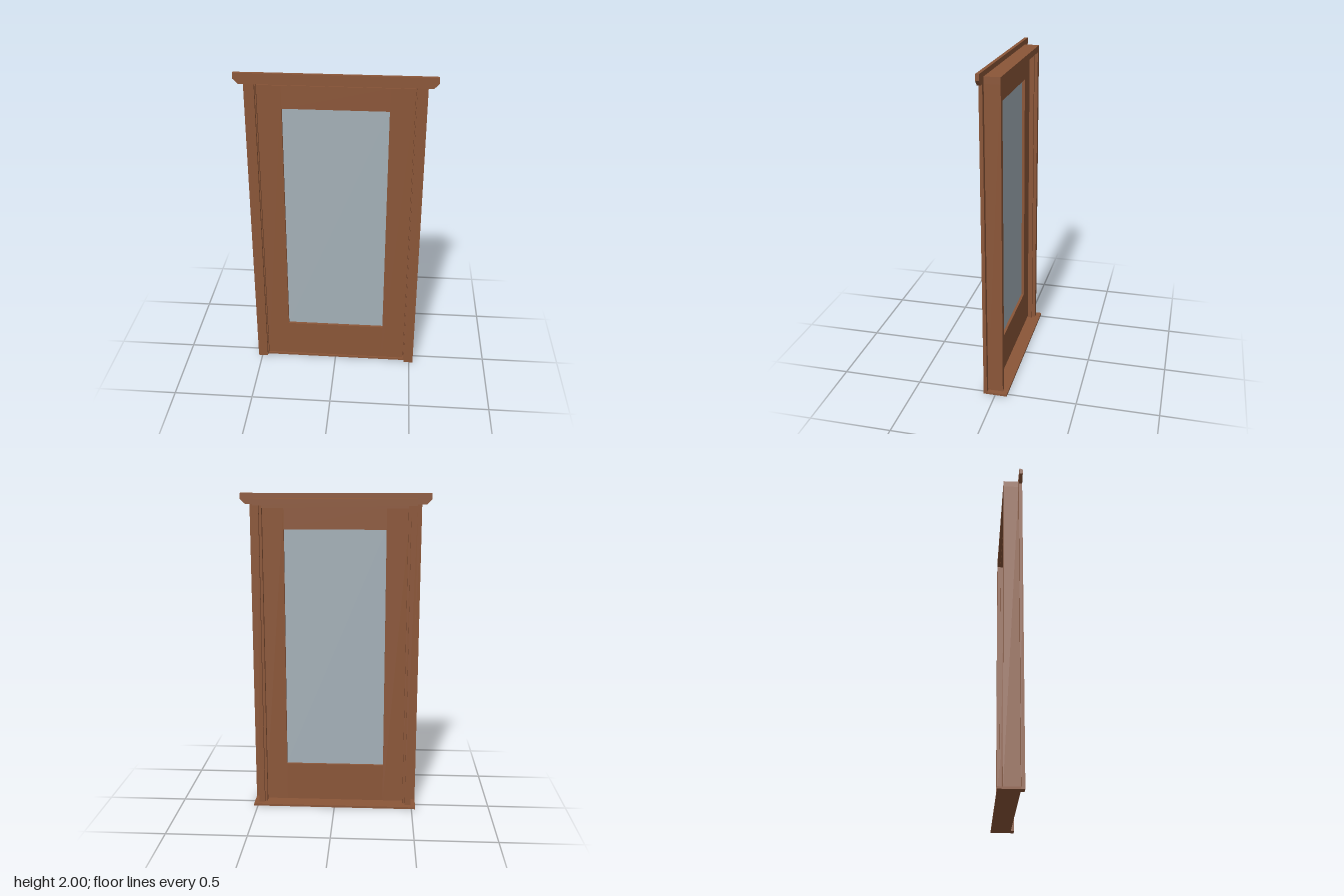
import * as THREE from 'three';

export function createModel() {
  const model = new THREE.Group();
  model.name = 'glazedDoor';

  const wood = new THREE.MeshStandardMaterial({ color: 0x8b5638 });
  wood.name = 'brown wood';
  const glass = new THREE.MeshStandardMaterial({ color: 0xa4b0b8 });
  glass.name = 'pale blue glass';

  // Box given by its lower and upper limits on each axis
  const box = (parent, name, [x0, x1], [y0, y1], [z0, z1], material = wood) => {
    const mesh = new THREE.Mesh(new THREE.BoxGeometry(x1 - x0, y1 - y0, z1 - z0), material);
    mesh.position.set((x0 + x1) / 2, (y0 + y1) / 2, (z0 + z1) / 2);
    mesh.name = name;
    parent.add(mesh);
  };
  // The same box on both sides of the centre line
  const pair = (parent, name, [x0, x1], y, z) => {
    box(parent, name + 'Left', [x0, x1], y, z);
    box(parent, name + 'Right', [-x1, -x0], y, z);
  };
  const group = (name) => {
    const g = new THREE.Group();
    g.name = name;
    model.add(g);
    return g;
  };

  const sillTop = 0.013;
  const wallFace = 0.052;
  const casingZ = [wallFace, 0.073];
  const jambZ = [-0.041, wallFace];
  const stopZ = [-0.02, 0.009];
  const doorZ = [0.01, 0.051];

  // Frame: sill, jambs and the stops the door closes against
  const frame = group('frame');
  box(frame, 'sill', [-0.525, 0.525], [0, sillTop], [-0.073, wallFace]);
  pair(frame, 'sideJamb', [0.458, 0.495], [sillTop, 1.93], jambZ);
  box(frame, 'headJamb', [-0.495, 0.495], [1.93, 1.97], jambZ);
  pair(frame, 'sideStop', [0.443, 0.458], [sillTop, 1.93], stopZ);
  box(frame, 'headStop', [-0.443, 0.443], [1.915, 1.93], stopZ);

  // Front casing with a head board clipped at its lower corners
  const casing = group('casing');
  pair(casing, 'sideCasing', [0.464, 0.525], [0, 1.935], casingZ);
  const outline = new THREE.Shape([
    [-0.555, 1.935], [0.555, 1.935], [0.584, 1.965],
    [0.584, 2], [-0.584, 2], [-0.584, 1.965],
  ].map(([x, y]) => new THREE.Vector2(x, y)));
  const head = new THREE.Mesh(
    new THREE.ExtrudeGeometry(outline, { depth: casingZ[1] - casingZ[0], bevelEnabled: false }),
    wood,
  );
  head.position.z = casingZ[0];
  head.name = 'headCasing';
  casing.add(head);

  // Door leaf: two stiles, two rails and one pane
  const door = group('door');
  pair(door, 'stile', [0.313, 0.455], [0.02, 1.925], doorZ);
  box(door, 'topRail', [-0.313, 0.313], [1.785, 1.925], doorZ);
  box(door, 'bottomRail', [-0.313, 0.313], [0.02, 0.265], doorZ);
  box(door, 'pane', [-0.313, 0.313], [0.265, 1.785], [0.027, 0.034], glass);

  return model;
}
